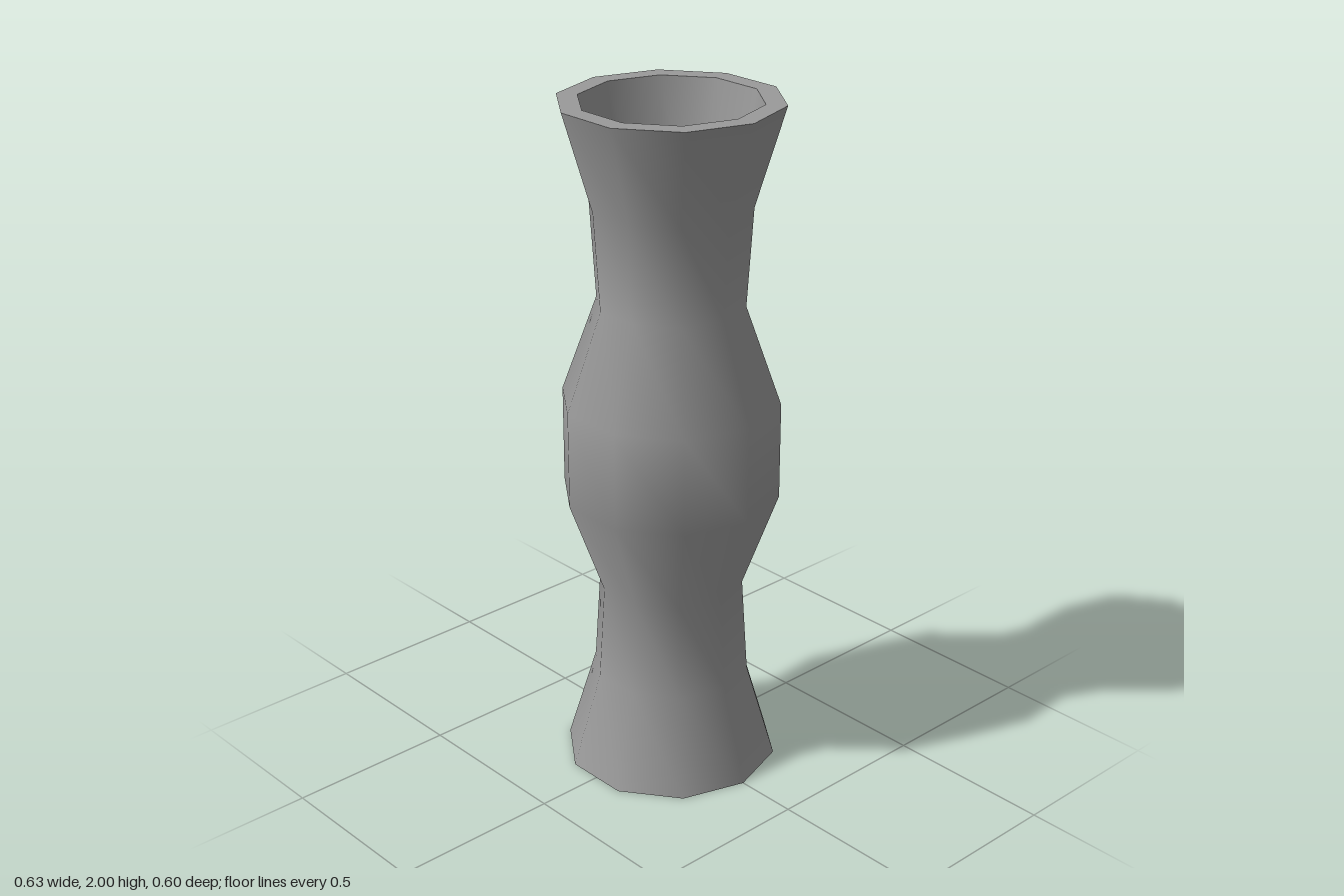
import * as THREE from 'three';

const SIDES = 10;
const STEP = 2 / 7; // height of one ring of the body

export function createModel() {
  const group = new THREE.Group();
  group.name = 'vase';
  const material = new THREE.MeshStandardMaterial({ color: 0x9a9a9a, side: THREE.DoubleSide });

  // Turned ten-sided surface from [radius, height] pairs, with corners on the x axis
  const turned = (name, profile) => {
    const points = profile.map(([r, y]) => new THREE.Vector2(r, y));
    const geometry = new THREE.LatheGeometry(points, SIDES, Math.PI / 2);
    const mesh = new THREE.Mesh(geometry, material);
    mesh.name = name;
    group.add(mesh);
  };

  // Outer wall: flared ends, two necks and a swollen middle, open underneath
  const radii = [0.315, 0.23, 0.212, 0.315, 0.315, 0.212, 0.23, 0.315];
  turned('outerWall', radii.map((r, i) => [r, i * STEP]));

  // Flat lip around the mouth
  turned('rim', [[0.315, 2], [0.256, 2]]);

  // Cavity wall tapering straight down to the neck, closed by a flat floor
  turned('innerWall', [[0.256, 2], [0.163, 5 * STEP]]);
  turned('innerFloor', [[0.163, 5 * STEP], [0, 5 * STEP]]);

  return group;
}
